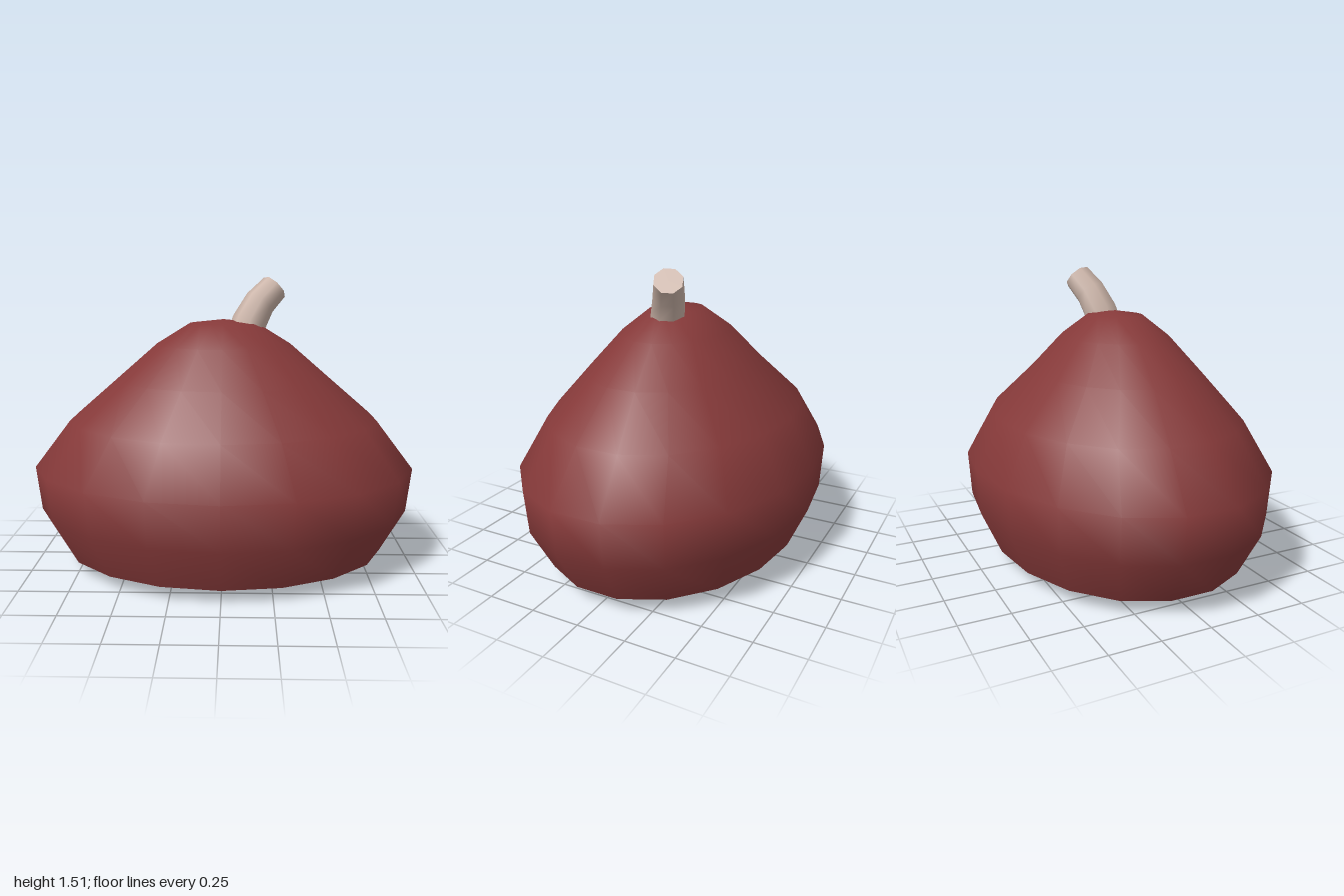
import * as THREE from 'three';

const SIDES = 18;

// Oval lathe: profile of [half width, half depth, height], bottom to top
function ovalLathe(rings) {
  const geo = new THREE.LatheGeometry(rings.map(([rx, , y]) => new THREE.Vector2(rx, y)), SIDES);
  const pos = geo.attributes.position;
  for (let i = 0; i < pos.count; i++) {
    const [rx, rz, y] = rings[i % rings.length];
    // the crown leans slightly to the front
    const lean = y > 0.9 ? 0.017 : 0;
    pos.setZ(i, rx > 0 ? pos.getZ(i) * rz / rx + lean : lean);
  }
  // smooth normals, corrected for the oval and kept continuous at the seam
  const nor = geo.attributes.normal;
  const n = new THREE.Vector3();
  for (let i = 0; i < nor.count; i++) {
    n.fromBufferAttribute(nor, i);
    n.z *= 1.33;
    n.normalize();
    nor.setXYZ(i, n.x, n.y, n.z);
  }
  return geo;
}

export function createModel() {
  const group = new THREE.Group();
  const skin = new THREE.MeshStandardMaterial({ name: 'dark red skin', color: 0x853939 });
  const wood = new THREE.MeshStandardMaterial({ name: 'pale brown stem', color: 0xcbb4a8 });

  const add = (name, geo, mat) => {
    const mesh = new THREE.Mesh(geo, mat);
    mesh.name = name;
    group.add(mesh);
  };

  // Bulging body with a pointed, rounded crown
  add('body', ovalLathe([
    [0.85, 0.635, 0.075], [0.975, 0.735, 0.3], [1, 0.748, 0.53], [0.81, 0.62, 0.775],
    [0.565, 0.425, 0.985], [0.355, 0.268, 1.165], [0.175, 0.133, 1.275], [0, 0, 1.295],
  ]), skin);

  // Shallow base with a hard rim
  add('base', ovalLathe([
    [0, 0, 0], [0.22, 0.2, 0.003], [0.6, 0.44, 0.034], [0.85, 0.635, 0.075],
  ]), skin);

  // Bent, tapering stem set off-centre
  const path = new THREE.CatmullRomCurve3([
    new THREE.Vector3(0.1, 1.17, 0.015), new THREE.Vector3(0.13, 1.27, -0.002),
    new THREE.Vector3(0.187, 1.375, -0.037), new THREE.Vector3(0.265, 1.455, -0.078),
  ]);
  const steps = 3, around = 8;
  const stem = new THREE.TubeGeometry(path, steps, 1, around, false);
  const sp = stem.attributes.position;
  const v = new THREE.Vector3();
  for (let i = 0; i < sp.count; i++) {
    const t = Math.floor(i / (around + 1)) / steps;
    const c = path.getPointAt(t);
    v.fromBufferAttribute(sp, i).sub(c).multiplyScalar(0.098 - 0.024 * t).add(c);
    sp.setXYZ(i, v.x, v.y, v.z);
  }
  add('stem', stem, wood);

  // Flat cut end of the stem
  const end = path.getPointAt(1);
  const corner = (j) => v.fromBufferAttribute(sp, steps * (around + 1) + j).toArray();
  const fan = [];
  for (let j = 0; j < around; j++) fan.push(...end.toArray(), ...corner(j + 1), ...corner(j));
  const cap = new THREE.BufferGeometry();
  cap.setAttribute('position', new THREE.Float32BufferAttribute(fan, 3));
  cap.computeVertexNormals();
  add('stemEnd', cap, wood);

  return group;
}
